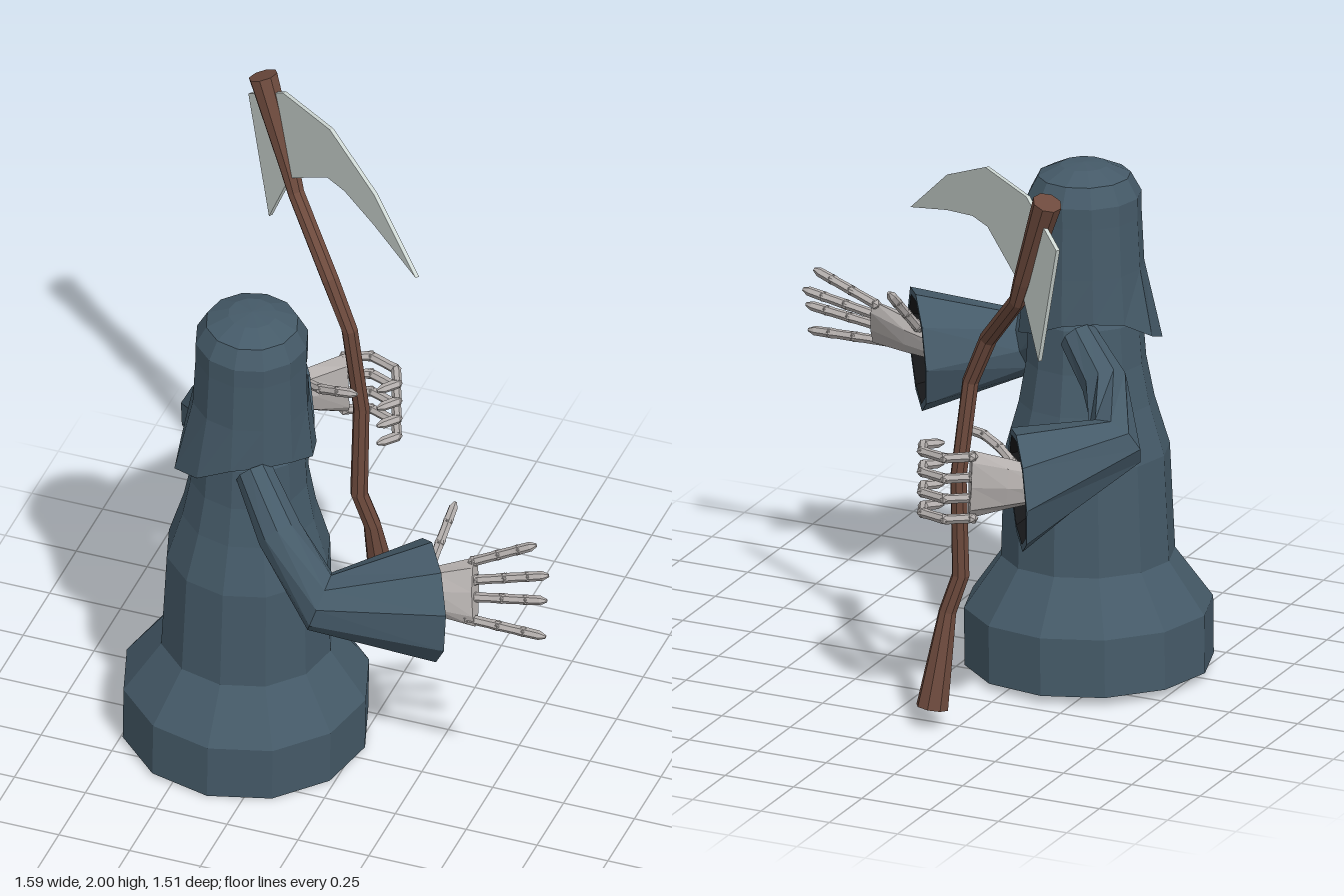
import * as THREE from 'three';

const V = (x, y, z) => new THREE.Vector3(x, y, z);
const mat = (color) => new THREE.MeshStandardMaterial({ color, flatShading: true, side: THREE.DoubleSide });
const cloth = mat(0x455a68), dark = mat(0x17181a), bone = mat(0xb4afad);
const wood = mat(0x6d4a3d), steel = mat(0xcdd6d2), red = mat(0xe0301a);
const facing = V(0.83, -0.05, -0.55).normalize();

function mesh(name, geometry, material, parent) {
  const m = new THREE.Mesh(geometry, material);
  m.name = name;
  parent.add(m);
  return m;
}

// Faceted geometry from a list of triangles
function facets(tris) {
  const g = new THREE.BufferGeometry().setFromPoints(tris);
  g.computeVertexNormals();
  return g;
}

// Skin over rings { c: centre, r: radius, h: second radius, n: normal }
function loft(rings, sides, { ref = V(0, 1, 0), cap = true } = {}) {
  const rows = rings.map((ring, i) => {
    const n = ring.n || rings[Math.min(i + 1, rings.length - 1)].c.clone()
      .sub(rings[Math.max(i - 1, 0)].c).normalize();
    const a = ref.clone().cross(n).normalize(), b = n.clone().cross(a);
    return Array.from({ length: sides }, (_, j) => {
      const t = (j / sides) * Math.PI * 2;
      return ring.c.clone().addScaledVector(a, ring.r * Math.cos(t))
        .addScaledVector(b, (ring.h ?? ring.r) * Math.sin(t));
    });
  });
  const tris = [], last = rows.length - 1;
  for (let j = 0; j < sides; j++) {
    const k = (j + 1) % sides;
    for (let i = 0; i < last; i++) {
      tris.push(rows[i][j], rows[i][k], rows[i + 1][k], rows[i][j], rows[i + 1][k], rows[i + 1][j]);
    }
    if (cap) {
      tris.push(rings[0].c, rows[0][k], rows[0][j]);
      tris.push(rings[last].c, rows[last][j], rows[last][k]);
    }
  }
  return facets(tris);
}

// Hood: twelve-sided shell, pointed hem front and back, eye opening in front
function hoodGeometry() {
  const rows = [[1.23, 0.205], [1.38, 0.197], [1.555, 0.19], [1.625, 0.19], [1.69, 0.155], [1.725, 0.08], [1.732, 0]];
  const P = (i, j) => {
    const t = (j / 12) * Math.PI * 2, c = Math.cos(t);
    let [y, r] = rows[i];
    if (i === 0) {
      const point = Math.abs(c) ** 3;
      y -= point * (c > 0 ? 0.08 : 0.12);
      r += point * (c > 0 ? 0.02 : 0.05);
    }
    return V(r * Math.sin(t), y, r * c);
  };
  const low = V(0, 1.435, 0.193), high = V(0, 1.515, 0.19), tris = [];
  for (let i = 0; i < rows.length - 1; i++) {
    for (let j = 0; j < 12; j++) {
      if (i === 1 && (j === 0 || j === 11)) {
        tris.push(P(1, j), P(1, j + 1), low, high, P(2, j + 1), P(2, j));
        continue;
      }
      tris.push(P(i, j), P(i, j + 1), P(i + 1, j + 1));
      if (i < rows.length - 2) tris.push(P(i, j), P(i + 1, j + 1), P(i + 1, j));
    }
  }
  return facets(tris);
}

// Wide sleeve with a rim and a dark lining
function sleeve(name, pts, parent) {
  const g = new THREE.Group();
  g.name = name;
  parent.add(g);
  const radii = [0.065, 0.078, 0.105, 0.21];
  const rings = pts.map((c, i) => ({ c, r: radii[i] }));
  rings[3].n = facing;
  const rim = { c: pts[3], r: 0.185, n: facing };
  mesh('sleeveOuter', loft([...rings, rim], 9, { cap: false }), cloth, g);
  const deep = { c: pts[2].clone().lerp(pts[3], 0.25), r: 0.09 };
  mesh('sleeveLining', loft([deep, rim], 9, { cap: false }), dark, g);
  mesh('sleeveBack', loft([deep, { c: deep.c.clone().lerp(pts[3], 0.03), r: 0.09 }], 9), dark, g);
}

// Bony finger: tapered bones with knuckles between them
function finger(name, pts, parent) {
  const g = new THREE.Group();
  g.name = name;
  parent.add(g);
  pts.forEach((p, i) => {
    if (i < pts.length - 1) mesh('knuckle', new THREE.IcosahedronGeometry(0.021 - i * 0.001, 0).translate(p.x, p.y, p.z), bone, g);
    if (i === 0) return;
    const a = pts[i - 1], tip = i === pts.length - 1;
    mesh('fingerBone', loft([{ c: a, r: 0.017 }, { c: a.clone().lerp(p, 0.7), r: 0.016 },
      { c: p, r: tip ? 0.006 : 0.018 }], 6), bone, g);
  });
}
const straight = (a, b) => [0, 0.4, 0.72, 1].map((t) => a.clone().lerp(b, t));

export function createModel() {
  const model = new THREE.Group();
  model.name = 'hoodedFigure';

  // Robe and hood, leaning slightly
  const torso = new THREE.Group();
  torso.name = 'torso';
  torso.position.set(-0.385, 0.014, 0.215);
  torso.rotation.set(0.03, 2.14, -0.025, 'XZY');
  model.add(torso);
  const profile = [[0, 0], [0.415, 0], [0.415, 0.2], [0.29, 0.375], [0.276, 0.74], [0.226, 0.91],
    [0.2, 1.05], [0.19, 1.2], [0.12, 1.32]].map(([r, y]) => new THREE.Vector2(r, y));
  mesh('robe', new THREE.LatheGeometry(profile, 12), cloth, torso);
  mesh('hood', hoodGeometry(), cloth, torso);
  mesh('shadowedFace', new THREE.CylinderGeometry(0.14, 0.14, 0.3, 12).translate(0, 1.47, 0), dark, torso);
  for (const s of [-1, 1]) {
    mesh('eye', new THREE.IcosahedronGeometry(0.026, 1).translate(s * 0.052, 1.513, 0.148), red, torso);
  }

  // Sleeves
  sleeve('openArm', [V(-0.28, 1.2, 0.41), V(-0.14, 1.07, 0.54), V(0.04, 0.92, 0.65), V(0.37, 0.895, 0.48)], model);
  sleeve('scytheArm', [V(-0.41, 1.2, 0.08), V(-0.55, 1.09, -0.01), V(-0.66, 0.95, -0.16), V(-0.445, 0.85, -0.46)], model);

  // Open hand, fingers spread
  const openHand = new THREE.Group();
  openHand.name = 'openHand';
  model.add(openHand);
  mesh('palm', loft([{ c: V(0.26, 0.91, 0.49), r: 0.04, h: 0.06 }, { c: V(0.4, 0.94, 0.485), r: 0.045, h: 0.085 },
    { c: V(0.525, 0.965, 0.48), r: 0.035, h: 0.115 }], 8, { ref: V(0, 0.87, -0.5) }), bone, openHand);
  const spread = [
    [V(0.5, 1.05, 0.43), V(0.71, 1.15, 0.4)], [V(0.52, 1.0, 0.46), V(0.765, 1.06, 0.43)],
    [V(0.52, 0.95, 0.49), V(0.775, 0.99, 0.475)], [V(0.51, 0.885, 0.525), V(0.79, 0.88, 0.525)],
    [V(0.35, 0.99, 0.44), V(0.38, 1.16, 0.28)],
  ];
  spread.forEach(([a, b], i) => finger(i < 4 ? 'finger' : 'thumb', straight(a, b), openHand));

  // Gripping hand, fingers curled round the shaft
  const gripHand = new THREE.Group();
  gripHand.name = 'grippingHand';
  model.add(gripHand);
  mesh('palm', loft([{ c: V(-0.52, 0.87, -0.43), r: 0.04, h: 0.06 }, { c: V(-0.42, 0.88, -0.5), r: 0.045, h: 0.09 },
    { c: V(-0.32, 0.885, -0.565), r: 0.035, h: 0.12 }], 8), bone, gripHand);
  const curl = [[-0.33, -0.57], [-0.25, -0.61], [-0.15, -0.575], [-0.12, -0.505], [-0.17, -0.45]];
  for (let i = 0; i < 4; i++) {
    finger('finger', curl.map(([x, z], k) => V(x, 0.985 - i * 0.072 - k * 0.004, z)), gripHand);
  }
  finger('thumb', [V(-0.42, 0.94, -0.45), V(-0.35, 0.965, -0.4), V(-0.28, 0.99, -0.375), V(-0.21, 1.0, -0.37)], gripHand);

  // Crooked scythe shaft
  const shaft = [
    [-0.17, 0.065, -0.54, 0.055], [-0.2, 0.39, -0.485, 0.03], [-0.24, 0.52, -0.468, 0.03],
    [-0.235, 0.87, -0.475, 0.028], [-0.265, 1.2, -0.445, 0.028], [-0.34, 1.37, -0.465, 0.03],
    [-0.515, 1.58, -0.61, 0.029], [-0.545, 1.66, -0.63, 0.034], [-0.66, 1.975, -0.685, 0.05],
  ].map(([x, y, z, r]) => ({ c: V(x, y, z), r }));
  mesh('scytheShaft', loft(shaft, 8, { ref: V(0.6, 0, -0.8) }), wood, model);

  // Curved blade with a hooked back
  const outline = [[0, 1.84], [0.12, 1.41], [0.24, 1.64], [0.46, 1.775], [0.56, 1.78], [0.73, 1.745],
    [0.975, 1.675], [0.73, 1.87], [0.475, 1.98], [0.2, 1.965]].map(([u, y]) => new THREE.Vector2(u, y));
  const blade = mesh('scytheBlade', new THREE.ExtrudeGeometry(new THREE.Shape(outline),
    { depth: 0.014, bevelEnabled: false }).translate(0, 0, -0.007), steel, model);
  blade.position.set(-0.73, 0, -0.75);
  blade.rotation.y = -0.61;

  return model;
}
